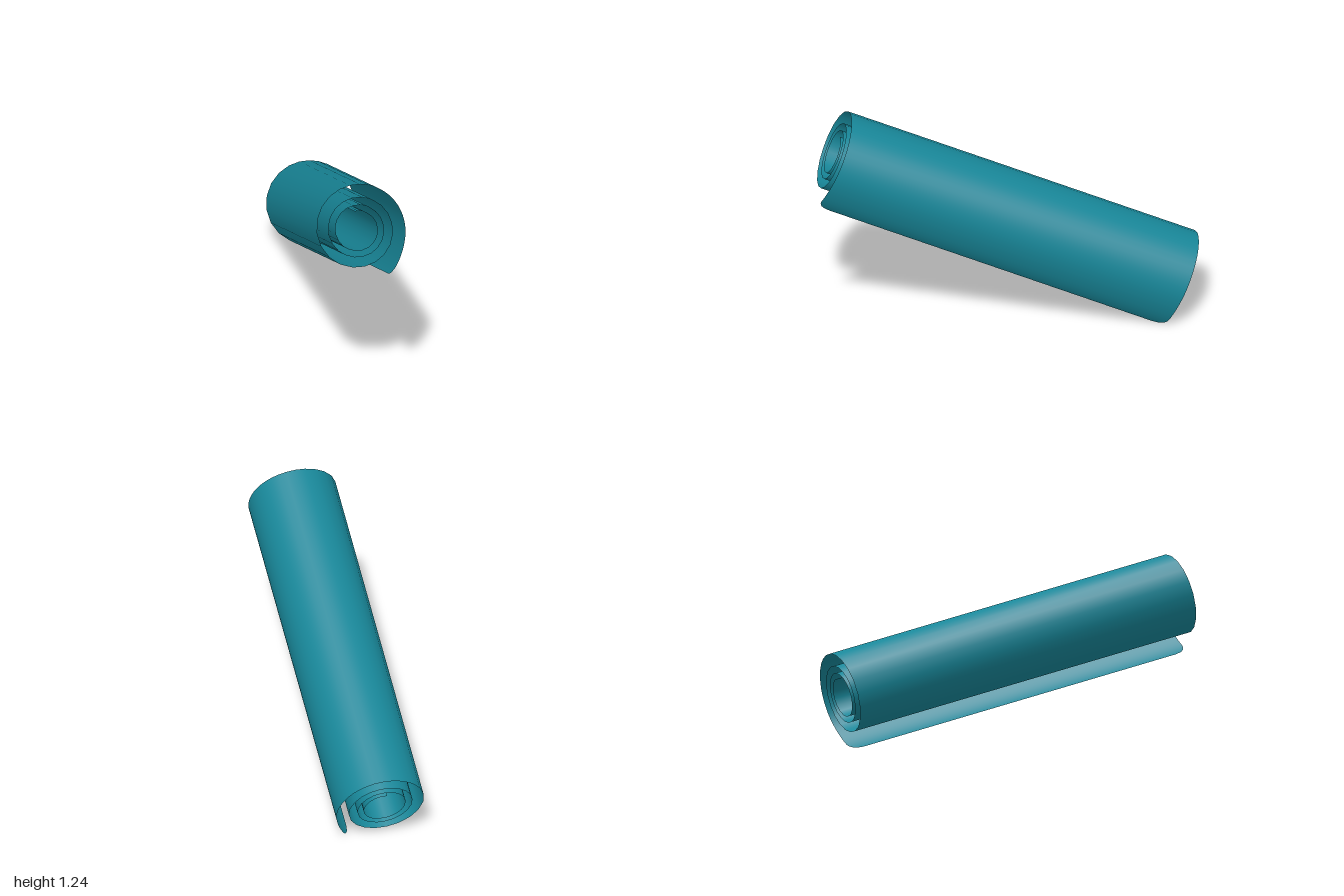
import * as THREE from 'three';

// Spiral profile: (turns clockwise from the top, radius), from core to free flap
const SPIRAL = new THREE.SplineCurve([
  [-3, 0.098], [-2.5, 0.112], [-2, 0.13], [-1.5, 0.146], [-1, 0.17], [-0.5, 0.199],
  [0, 0.238], [0.25, 0.25], [0.35, 0.262], [0.43, 0.295],
].map(([turn, r]) => new THREE.Vector2(turn, r)));

const FRONT = new THREE.Vector3(-0.283, 1.008, 0.872);
const BACK = new THREE.Vector3(0.262, 0.198, -0.888);
const CORNER = 0.07; // rounding of the flap corners

function rolledSheet(segments) {
  const points = SPIRAL.getPoints(segments).map(({ x, y }) => {
    const a = x * Math.PI * 2;
    return new THREE.Vector2(Math.sin(a) * y, Math.cos(a) * y);
  });

  // Distance from each point to the free edge, used to round its corners
  const toEdge = new Array(segments + 1).fill(0);
  for (let i = segments - 1; i >= 0; i--) {
    toEdge[i] = toEdge[i + 1] + points[i].distanceTo(points[i + 1]);
  }

  // Wrap a flat strip around the spiral, local z running along the roll
  const half = FRONT.distanceTo(BACK) / 2;
  const geometry = new THREE.PlaneGeometry(1, 1, segments, 1);
  const pos = geometry.attributes.position;
  for (let k = 0; k < pos.count; k++) {
    const i = k % (segments + 1);
    const gap = Math.max(0, CORNER - toEdge[i]);
    const inset = CORNER - Math.sqrt(Math.max(0, CORNER * CORNER - gap * gap));
    const side = k > segments ? -1 : 1;
    pos.setXYZ(k, points[i].x, points[i].y, side * (half - inset));
  }
  geometry.computeVertexNormals();
  return geometry;
}

export function createModel() {
  const group = new THREE.Group();
  group.name = 'rolledMat';

  const material = new THREE.MeshStandardMaterial({ color: 0x188799, side: THREE.DoubleSide });
  const mat = new THREE.Mesh(rolledSheet(90), material);
  mat.name = 'matSheet';

  // Tilt the roll: local z points to the front end, local x stays near world x
  const axis = FRONT.clone().sub(BACK).normalize();
  const right = new THREE.Vector3(1, 0, 0).addScaledVector(axis, -axis.x).normalize();
  const up = axis.clone().cross(right);
  mat.quaternion.setFromRotationMatrix(new THREE.Matrix4().makeBasis(right, up, axis));
  mat.position.copy(FRONT).add(BACK).multiplyScalar(0.5);

  group.add(mat);
  return group;
}
